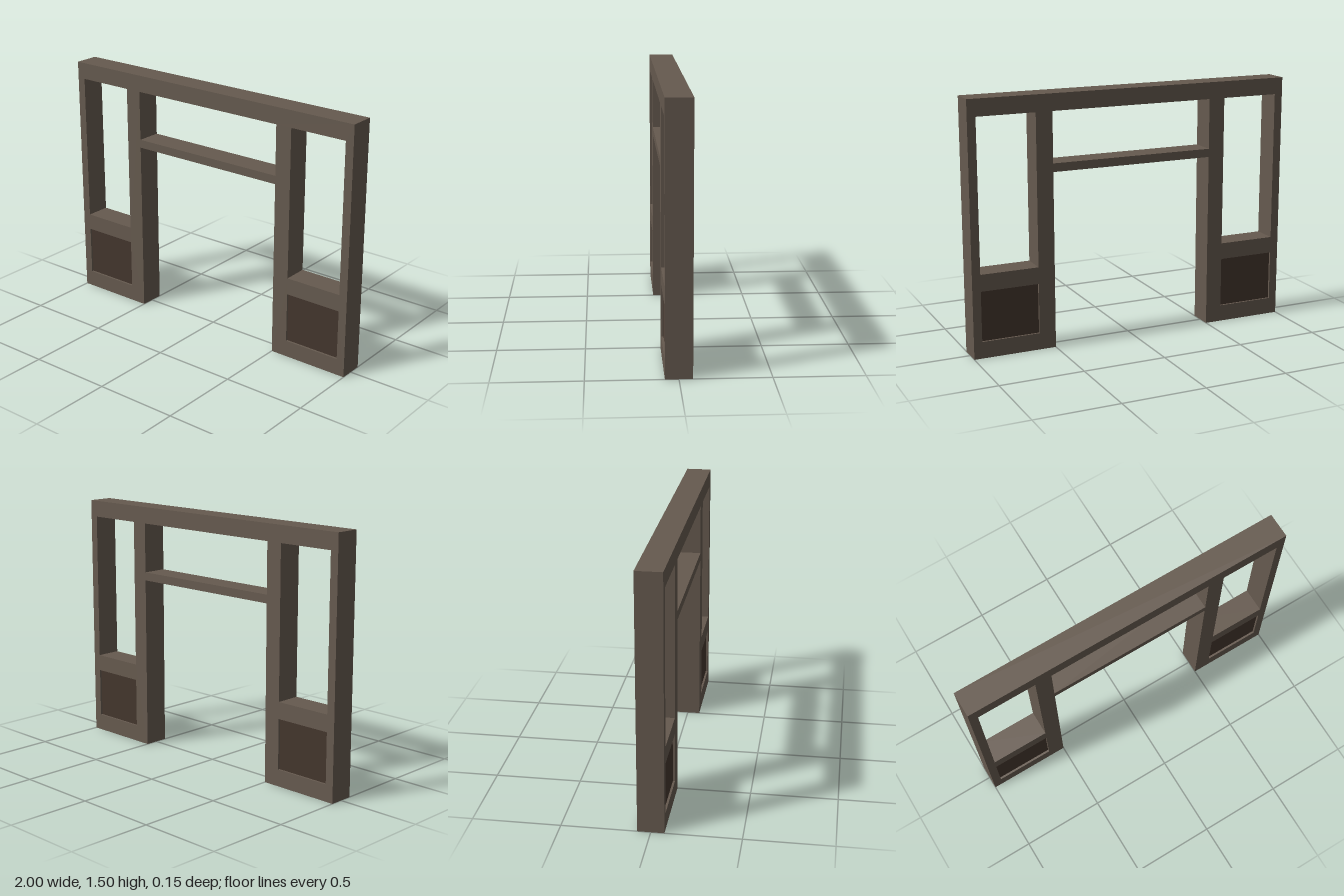
import * as THREE from 'three';

const DEPTH = 0.15;

// Rectangle outline, used for the window and panel openings
function rectPath(x0, y0, x1, y1) {
  const path = new THREE.Path();
  path.moveTo(x0, y0);
  path.lineTo(x0, y1);
  path.lineTo(x1, y1);
  path.lineTo(x1, y0);
  path.closePath();
  return path;
}

function box(name, material, x0, y0, x1, y1, depth) {
  const mesh = new THREE.Mesh(new THREE.BoxGeometry(x1 - x0, y1 - y0, depth), material);
  mesh.position.set((x0 + x1) / 2, (y0 + y1) / 2, 0);
  mesh.name = name;
  return mesh;
}

export function createModel() {
  const model = new THREE.Group();
  model.name = 'doorwayFrame';

  const frameWood = new THREE.MeshStandardMaterial({ color: 0x665a4f });
  frameWood.name = 'frame wood';
  const panelWood = new THREE.MeshStandardMaterial({ color: 0x44362d });
  panelWood.name = 'dark panel wood';

  // Frame: two side bays joined by a lintel, with the doorway open to the floor
  const outline = new THREE.Shape([
    [-1, 0], [-0.5, 0], [-0.5, 1.4], [0.5, 1.4], [0.5, 0], [1, 0], [1, 1.5], [-1, 1.5],
  ].map(([x, y]) => new THREE.Vector2(x, y)));
  for (const [x0, x1] of [[-0.95, -0.6], [0.6, 0.95]]) {
    outline.holes.push(rectPath(x0, 0.5, x1, 1.4)); // window
    outline.holes.push(rectPath(x0, 0.1, x1, 0.4)); // panel recess
  }
  const frameGeometry = new THREE.ExtrudeGeometry(outline, { depth: DEPTH, bevelEnabled: false });
  frameGeometry.translate(0, 0, -DEPTH / 2);
  const frame = new THREE.Mesh(frameGeometry, frameWood);
  frame.name = 'frame';
  model.add(frame);

  // Crossbar over the doorway
  model.add(box('crossbar', frameWood, -0.5, 1.05, 0.5, 1.1, DEPTH));

  // Dark lower panels, slightly recessed on both faces
  model.add(box('rightPanel', panelWood, -0.95, 0.1, -0.6, 0.4, 0.125));
  model.add(box('leftPanel', panelWood, 0.6, 0.1, 0.95, 0.4, 0.125));

  return model;
}
